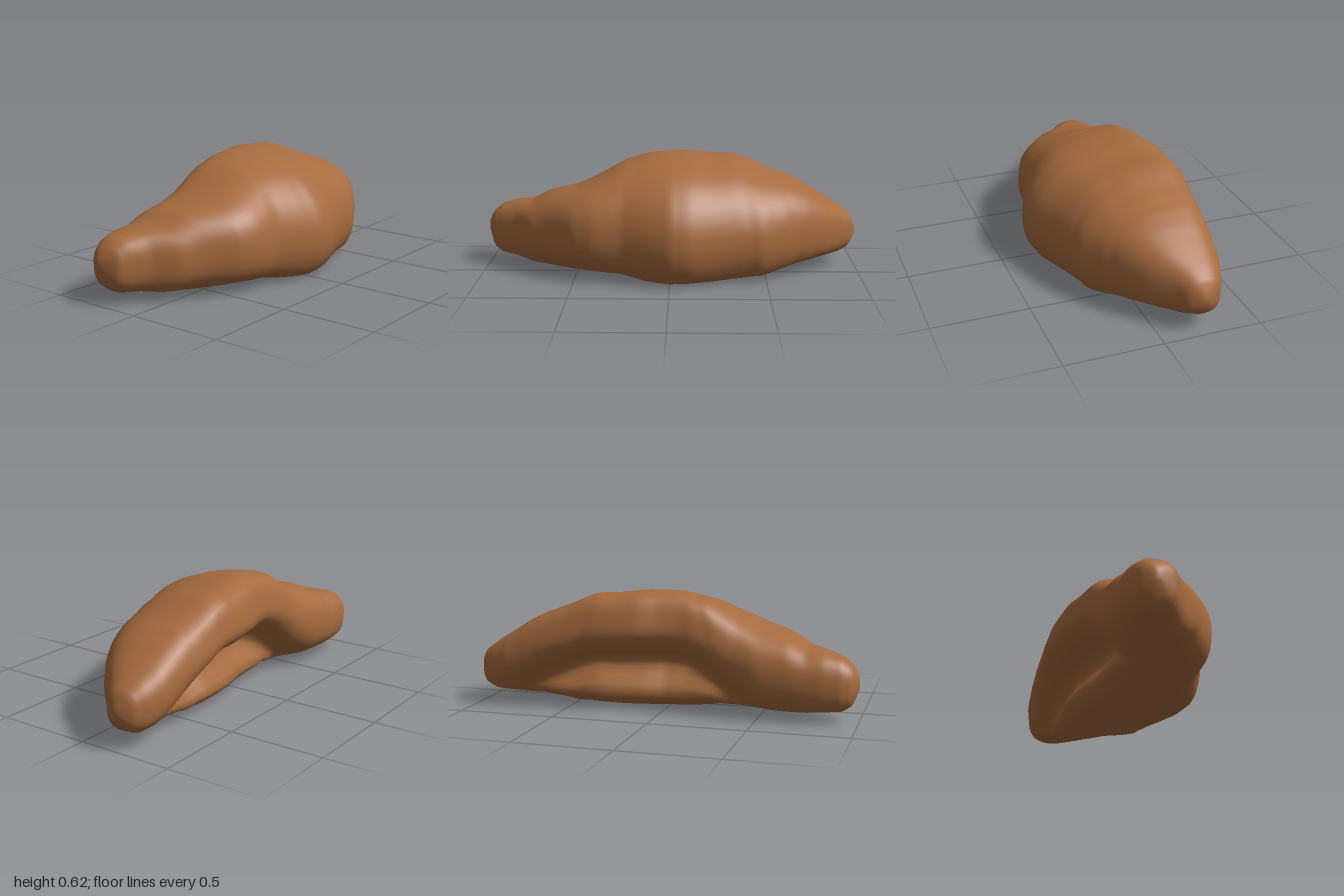
import * as THREE from 'three';

// Stations along the roll: x, back z, front z, bottom y, top y
const stations = [
  [-1, -0.24, -0.2, 0.17, 0.23], [-0.97, -0.29, -0.12, 0.09, 0.285], [-0.92, -0.315, -0.085, 0.055, 0.325],
  [-0.83, -0.335, -0.025, 0.045, 0.352], [-0.74, -0.34, 0.075, 0.03, 0.365], [-0.65, -0.343, 0.13, 0.025, 0.415],
  [-0.5, -0.345, 0.245, 0.02, 0.455], [-0.4, -0.33, 0.28, 0.015, 0.5], [-0.23, -0.325, 0.295, 0.012, 0.588],
  [-0.1, -0.315, 0.345, 0.005, 0.615], [0, -0.33, 0.375, 0.002, 0.62], [0.1, -0.36, 0.367, 0.002, 0.62],
  [0.22, -0.37, 0.32, 0.003, 0.605], [0.35, -0.375, 0.275, 0.01, 0.6], [0.48, -0.375, 0.248, 0.01, 0.545],
  [0.62, -0.373, 0.165, 0.03, 0.5], [0.72, -0.365, 0.095, 0.04, 0.45], [0.82, -0.355, 0.015, 0.055, 0.385],
  [0.91, -0.325, -0.08, 0.07, 0.325], [0.97, -0.29, -0.13, 0.1, 0.28], [1, -0.23, -0.19, 0.16, 0.21],
];

// Middle section, with a shallow hollow low on the back (u: back to front, v: bottom to top)
const hollow = [
  [1, 0.42], [0.95, 0.6], [0.86, 0.74], [0.74, 0.85], [0.57, 0.93], [0.38, 0.98], [0.18, 1], [0.06, 0.94], [0.01, 0.8],
  [0, 0.64], [0.1, 0.53], [0.24, 0.46], [0.28, 0.35], [0.17, 0.14], [0.3, 0.015], [0.6, 0.002], [0.88, 0.015], [0.985, 0.19],
];
// Horn section, a rounded square
const power = (t) => 0.5 + 0.5 * Math.sign(t) * Math.abs(t) ** 0.78;
const horn = hollow.map((_, j) => {
  const a = (j / hollow.length) * Math.PI * 2;
  return [power(Math.cos(a)), power(Math.sin(a))];
});

const SIDES = 54, RINGS = 90;
const resample = (points) => new THREE.CatmullRomCurve3(
  points.map(([u, v]) => new THREE.Vector3(u, v, 0)), true).getPoints(SIDES).slice(0, SIDES);

function stationAt(x) {
  let i = 0;
  while (i < stations.length - 2 && x > stations[i + 1][0]) i++;
  const a = stations[i], b = stations[i + 1];
  const t = (x - a[0]) / (b[0] - a[0]);
  return a.map((value, k) => THREE.MathUtils.lerp(value, b[k], t));
}

// Shallow slanted grooves where the rolled dough layers overlap
const seams = [-0.27, 0.42, 0.66];
function groove(x, v) {
  return seams.reduce((sum, s) => {
    const d = (x - s - Math.sign(-s) * 0.14 * Math.max(v - 0.5, 0)) / 0.028;
    return sum + 0.012 * Math.exp(-d * d);
  }, 0);
}

function rollGeometry() {
  const middle = resample(hollow), end = resample(horn);
  const positions = [], index = [];
  for (let i = 0; i <= RINGS; i++) {
    const t = (i / RINGS) * 2 - 1;
    const x = 0.5 * t + 0.5 * Math.sin((t * Math.PI) / 2);
    const [, back, front, bottom, top] = stationAt(x);
    const reach = x > 0.14 ? 0.82 : 0.74;
    const w = THREE.MathUtils.smoothstep(1 - Math.abs(x - 0.14) / reach, 0, 0.75);
    for (let j = 0; j < SIDES; j++) {
      const p = end[j].clone().lerp(middle[j], w);
      const k = 1 - groove(x, p.y);
      const u = 0.5 + (p.x - 0.5) * k, v = 0.5 + (p.y - 0.5) * k;
      positions.push(x, bottom + (top - bottom) * v, back + (front - back) * u);
      if (i < RINGS) {
        const a = i * SIDES + j, b = i * SIDES + ((j + 1) % SIDES);
        index.push(a, a + SIDES, b, b, a + SIDES, b + SIDES);
      }
    }
  }
  // Close the two blunt tips
  const last = RINGS * SIDES, pole = (RINGS + 1) * SIDES;
  positions.push(-1, 0.2, -0.22, 1, 0.185, -0.21);
  for (let j = 0; j < SIDES; j++) {
    const n = (j + 1) % SIDES;
    index.push(pole, j, n, pole + 1, last + n, last + j);
  }
  const geometry = new THREE.BufferGeometry();
  geometry.setAttribute('position', new THREE.Float32BufferAttribute(positions, 3));
  geometry.setIndex(index);
  geometry.computeVertexNormals();
  return geometry;
}

export function createModel() {
  const group = new THREE.Group();
  group.name = 'crescentRoll';
  const crust = new THREE.MeshStandardMaterial({ color: 0xa66b3f });
  crust.name = 'bakedBrown';
  const roll = new THREE.Mesh(rollGeometry(), crust);
  roll.name = 'crust';
  group.add(roll);
  return group;
}
